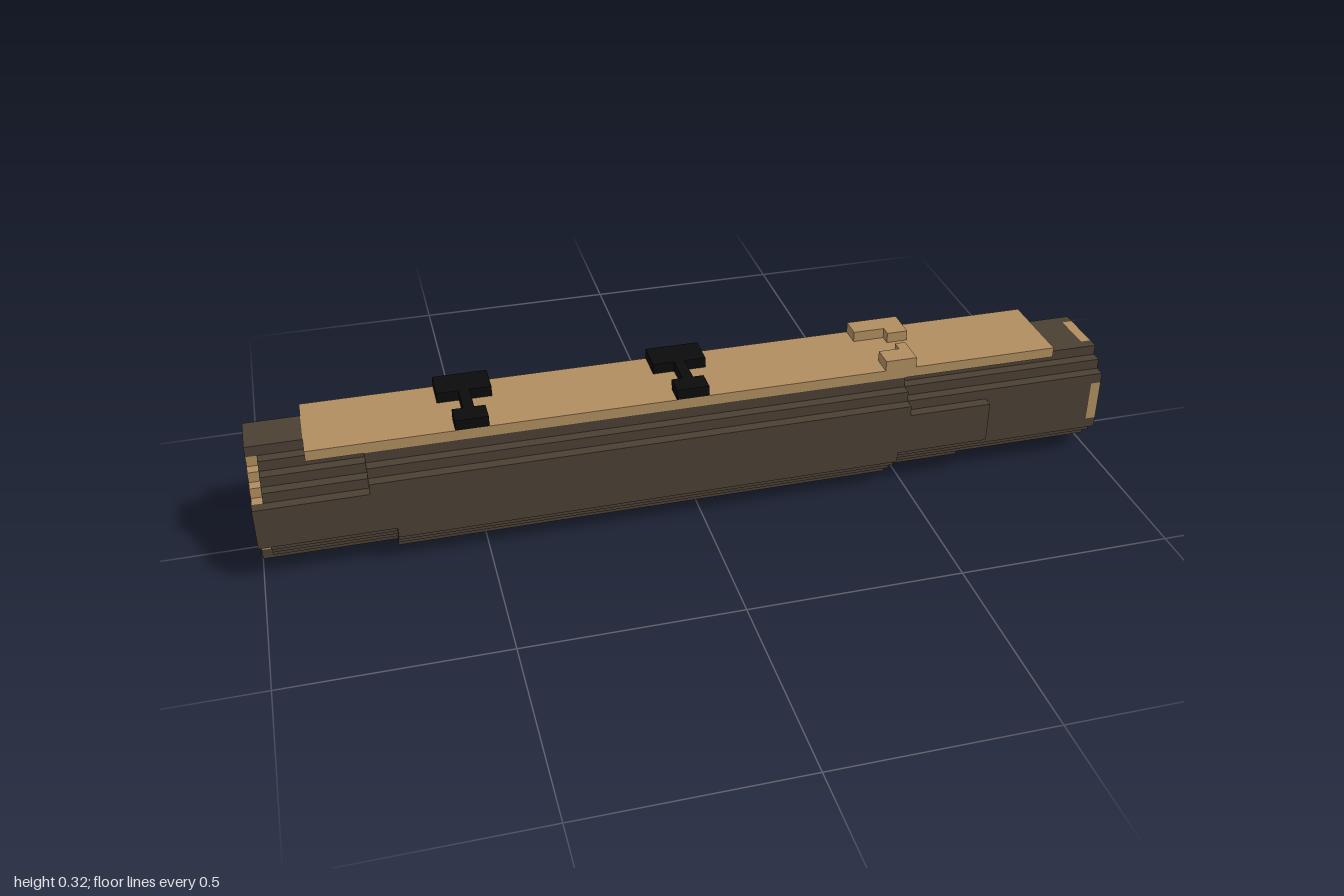
import * as THREE from 'three';

const U = 0.025; // one block

export function createModel() {
  const model = new THREE.Group();
  model.name = 'log';
  const bark = new THREE.MeshStandardMaterial({ color: 0x4a4033 });
  bark.name = 'dark bark';
  const wood = new THREE.MeshStandardMaterial({ color: 0xb08d60 });
  wood.name = 'pale wood';
  const iron = new THREE.MeshStandardMaterial({ color: 0x0b0b0b });
  iron.name = 'black iron';

  // Box from min/max corners
  function box(parent, name, material, x0, x1, y0, y1, z0, z1) {
    const mesh = new THREE.Mesh(new THREE.BoxGeometry(x1 - x0, y1 - y0, z1 - z0), material);
    mesh.position.set((x0 + x1) / 2, (y0 + y1) / 2, (z0 + z1) / 2);
    mesh.name = name;
    parent.add(mesh);
  }
  function group(name) {
    const g = new THREE.Group();
    g.name = name;
    model.add(g);
    return g;
  }

  const trunk = group('trunk');
  const ends = group('cutEnds');
  const corners = group('barkCorners');

  // Round middle section: [bottom, top, core half width] in blocks
  const rows = [[1, 2, 2], [2, 3, 3], [3, 4, 4], [4, 8, 5], [8, 9, 4], [9, 10, 3], [10, 11, 2]];
  for (const [b, t, w] of rows) {
    const y0 = b * U, y1 = t * U, z = w * U;
    const corner = w < 5;
    const outer = corner ? z + U : z;
    box(trunk, 'innerBark', bark, -0.975, 0.975, y0, y1, -outer, outer);
    box(ends, 'endGrain', wood, -1, -0.975, y0, y1, -z, z);
    box(ends, 'endGrain', wood, 0.975, 1, y0, y1, -z, z);
    if (!corner) continue;
    const upper = b >= 8;
    for (const s of [-1, 1]) {
      // bark lip at the right-hand cut
      const lip = s * (z + U / 2);
      box(corners, 'barkLip', bark, 0.975, 1, y0, y1, lip - U / 2, lip + U / 2);
      // second bark layer on the shoulders
      const c = s * (z + 1.5 * U);
      box(corners, 'outerBark', bark, upper ? -0.75 : -0.7, upper ? 0.5 : 0.475, y0, y1, c - U / 2, c + U / 2);
    }
  }

  // Long flat bark strips on the sides, bottom and top
  const strips = group('barkStrips');
  for (const s of [-1, 1]) {
    const c = s * 0.1375;
    box(strips, 'sideStrip', bark, -1, 0.7, 0.1, 0.2, c - U / 2, c + U / 2);
    const b = s * 0.0625;
    box(strips, 'bottomEdge', bark, -0.7, 0.475, 0, U, b - U / 2, b + U / 2);
  }
  box(strips, 'bottomStrip', bark, -1, 0.675, 0, U, -0.05, 0.05);
  box(strips, 'topStrip', bark, -1, -0.875, 0.275, 0.3, -0.05, 0.05);

  // Flat seat plank
  box(model, 'plank', wood, -0.875, 0.875, 0.275, 0.3, -0.1, 0.1);

  // Iron fittings
  for (const x of [-0.5125, -0.0125]) {
    const f = group('ironFitting');
    box(f, 'head', iron, x - 0.0625, x + 0.0625, 0.3, 0.325, -0.1, -0.025);
    box(f, 'stem', iron, x - 0.0125, x + 0.0125, 0.3, 0.325, -0.025, 0.05);
    box(f, 'foot', iron, x - 0.0375, x + 0.0375, 0.3, 0.325, 0.05, 0.1);
  }

  // Raised wooden blocks
  const blocks = group('woodenBlocks');
  box(blocks, 'backBlock', wood, 0.425, 0.55, 0.3, 0.325, -0.1, -0.05);
  box(blocks, 'backStep', wood, 0.5, 0.55, 0.3, 0.325, -0.05, -0.025);
  box(blocks, 'frontBlock', wood, 0.45, 0.525, 0.3, 0.325, 0.05, 0.1);
  box(blocks, 'frontStep', wood, 0.5, 0.525, 0.3, 0.325, 0.025, 0.05);

  return model;
}
